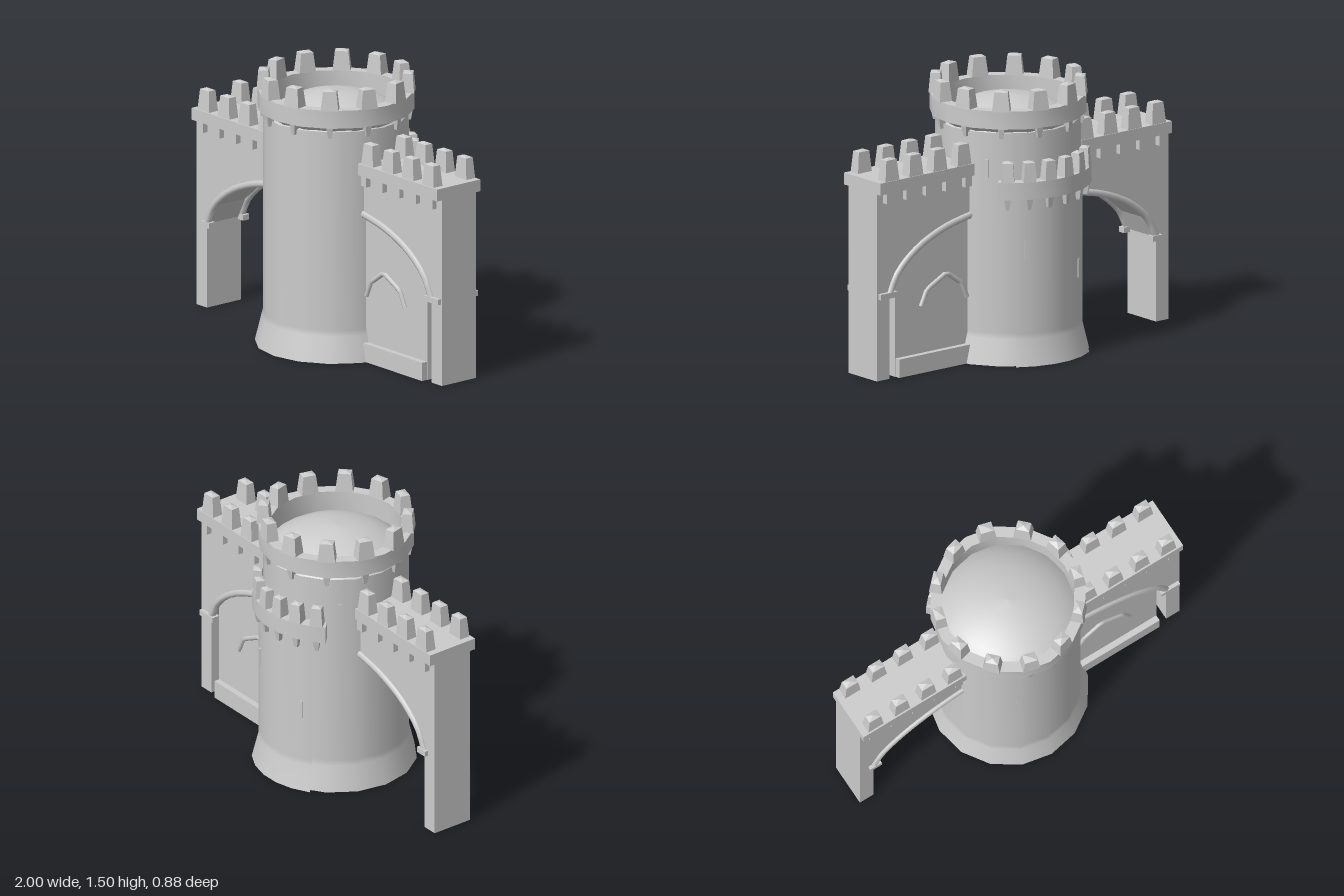
import * as THREE from 'three';
import { toCreasedNormals } from 'three/addons/utils/BufferGeometryUtils.js';

const stone = new THREE.MeshStandardMaterial({ color: 0xcccccc, side: THREE.DoubleSide });
stone.name = 'stone';
const DEG = Math.PI / 180;
const WALL_Z = 0.0075; // middle of the side walls

function add(parent, name, geometry, x = 0, y = 0, z = 0) {
  const mesh = new THREE.Mesh(geometry, stone);
  mesh.name = name;
  mesh.position.set(x, y, z);
  parent.add(mesh);
  return mesh;
}

function box(parent, name, x0, x1, y0, y1, z0, z1) {
  return add(parent, name, new THREE.BoxGeometry(Math.abs(x1 - x0), y1 - y0, z1 - z0),
    (x0 + x1) / 2, (y0 + y1) / 2, (z0 + z1) / 2);
}

// four-sided tapered block with a low pyramid top, standing on y = 0
function taperedBlock(width, depth, height, taper, peak) {
  const r = Math.SQRT1_2;
  const profile = [[0, 0], [r, 0], [r * taper, height], [0, height + peak]];
  let g = new THREE.LatheGeometry(profile.map(p => new THREE.Vector2(...p)), 4);
  g.rotateY(Math.PI / 4);
  g.scale(width, 1, depth);
  g = g.toNonIndexed();
  g.computeVertexNormals();
  return g;
}

function lathe(points, segments, phiStart, phiLength) {
  return new THREE.LatheGeometry(points.map(p => new THREE.Vector2(...p)), segments, phiStart, phiLength);
}

// curved slab round the back, from angle a0 to a1 measured from -z towards +x
function backSector(inner, outer, height, a0, a1) {
  const s = new THREE.Shape();
  s.absarc(0, 0, outer, (90 - a1) * DEG, (90 - a0) * DEG, false);
  s.absarc(0, 0, inner, (90 - a0) * DEG, (90 - a1) * DEG, true);
  s.closePath();
  const g = new THREE.ExtrudeGeometry(s, { depth: height, bevelEnabled: false, curveSegments: 8 });
  g.rotateX(-Math.PI / 2);
  return toCreasedNormals(g, 0.6);
}

// put a part on a circle, facing outwards; phi runs from +z towards +x
function onRing(parent, name, geometry, radius, phi, y, cz = 0) {
  const mesh = add(parent, name, geometry, radius * Math.sin(phi), y, cz + radius * Math.cos(phi));
  mesh.rotation.y = phi;
}

function plate(points, z0, z1) {
  const shape = new THREE.Shape(points.map(p => new THREE.Vector2(...p)));
  const g = new THREE.ExtrudeGeometry(shape, { depth: z1 - z0, bevelEnabled: false });
  return g.translate(0, 0, z0);
}

// moulding made of a thin tube through a few points
function moulding(points, z, radius, smooth) {
  const v = points.map(p => new THREE.Vector3(p[0], p[1], z));
  let path = new THREE.CatmullRomCurve3(v);
  if (!smooth) {
    path = new THREE.CurvePath();
    for (let i = 1; i < v.length; i++) path.add(new THREE.LineCurve3(v[i - 1], v[i]));
  }
  return new THREE.TubeGeometry(path, smooth ? 14 : 16, radius, 6);
}

function buildTower() {
  const tower = new THREE.Group();
  tower.name = 'tower';

  // flared shaft and its shallow domed roof
  add(tower, 'towerBody', lathe(
    [[0.429, 0], [0.395, 0.14], [0.387, 0.17], [0.387, 1.26]], 16), 0, 0, 0.01);
  add(tower, 'domedRoof', lathe(
    [[0.38, 1.24], [0.34, 1.275], [0.28, 1.313], [0.2, 1.347], [0.1, 1.371], [0, 1.379]], 24), 0, 0, 0.01);

  // parapet ring with merlons above and corbels below
  add(tower, 'parapetRing', toCreasedNormals(lathe(
    [[0.355, 1.25], [0.386, 1.287], [0.415, 1.287], [0.415, 1.385], [0.355, 1.385], [0.355, 1.25]], 16), 0.6), 0, 0, 0.01);
  const merlon = taperedBlock(0.095, 0.07, 0.105, 0.75, 0.01);
  const corbel = taperedBlock(0.036, 0.045, 0.06, 0.5, 0);
  corbel.rotateX(Math.PI);
  for (let i = 0; i < 12; i++) {
    const phi = (15 + 30 * i) * DEG;
    onRing(tower, 'towerMerlon', merlon, 0.382, phi, 1.383, 0.01);
    onRing(tower, 'towerCorbel', corbel, 0.385, phi, 1.289, 0.01);
  }

  // rear bay carrying a small balcony
  add(tower, 'rearBay', lathe([[0.437, 0], [0.402, 0.14], [0.4, 0.17], [0.4, 0.92]], 5,
    Math.PI - 35 * DEG, 70 * DEG));
  add(tower, 'balcony', backSector(0.32, 0.435, 0.095, -46, 48), 0, 0.91, 0);
  const smallMerlon = taperedBlock(0.07, 0.06, 0.105, 0.78, 0.01);
  for (let a = -39; a <= 41; a += 16) {
    onRing(tower, 'balconyMerlon', smallMerlon, 0.405, Math.PI - a * DEG, 1.003);
    onRing(tower, 'balconyCorbel', corbel, 0.41, Math.PI - a * DEG, 0.912);
  }

  // narrow arrow slits: angle, height, radius
  for (const [a, y, r] of [[-24, 0.79, 0.389], [20, 0.505, 0.389],
    [153, 0.63, 0.4], [206, 0.47, 0.4], [122, 1.065, 0.378], [236, 1.065, 0.378]]) {
    onRing(tower, 'arrowSlit', new THREE.BoxGeometry(0.016, 0.1, 0.009), r, a * DEG, y);
  }
  return tower;
}

// side = 1 for the left wall (+x), -1 for the right wall
function buildWall(side) {
  const wall = new THREE.Group();
  wall.name = side > 0 ? 'leftWall' : 'rightWall';
  const at = points => points.map(([x, y]) => [side * x, y]);
  const arch = [[0.25, 0.82], [0.37, 0.80], [0.55, 0.76], [0.73, 0.68], [0.86, 0.57], [0.915, 0.46]];
  const impostEnd = side > 0 ? 0.99 : 0.945;

  // wall with an arched opening
  add(wall, 'archWall', plate(at([[1, 0], [1, 1.03], [0.25, 1.03], ...arch, [0.915, 0]]), -0.11, 0.125));
  box(wall, 'walkway', side * 0.34, side, 1.02, 1.085, -0.14, 0.16);

  const merlon = taperedBlock(0.095, 0.062, 0.115, 0.75, 0.01);
  for (const f of [-1, 1]) {
    const face = WALL_Z + f * 0.1175;
    for (const x of [0.915, 0.75, 0.585, 0.42]) {
      add(wall, 'wallMerlon', merlon, side * x, 1.083, WALL_Z + f * 0.113);
    }
    for (const x of [0.935, 0.8, 0.665, 0.53, 0.395]) {
      box(wall, 'wallCorbel', side * (x - 0.022), side * (x + 0.022), 0.965, 1.025, face - 0.03, face + 0.03);
    }
    add(wall, 'archMoulding', moulding(at(arch), face, 0.02, true));
    box(wall, 'impost', side * 0.875, side * impostEnd, 0.445, 0.475, face - 0.022, face + 0.02);
  }
  return wall;
}

// thinner wall closing the left archway, with a plinth and blind arches
function buildInfill() {
  const infill = new THREE.Group();
  infill.name = 'archInfill';
  add(infill, 'infillWall', plate([[0.1, 0], [0.865, 0], [0.865, 0.58], [0.73, 0.7],
    [0.55, 0.78], [0.25, 0.83], [0.1, 0.83]], -0.097, 0.112));
  box(infill, 'plinth', 0.1, 0.862, 0, 0.1, -0.13, 0.145);
  for (const z of [-0.1, 0.115]) {
    add(infill, 'blindArch', moulding([[0.375, 0.355], [0.41, 0.435], [0.515, 0.51],
      [0.65, 0.44], [0.69, 0.355]], z, 0.014, false));
  }
  return infill;
}

export function createModel() {
  const castle = new THREE.Group();
  castle.name = 'castle';
  castle.add(buildTower(), buildWall(1), buildWall(-1), buildInfill());
  return castle;
}
